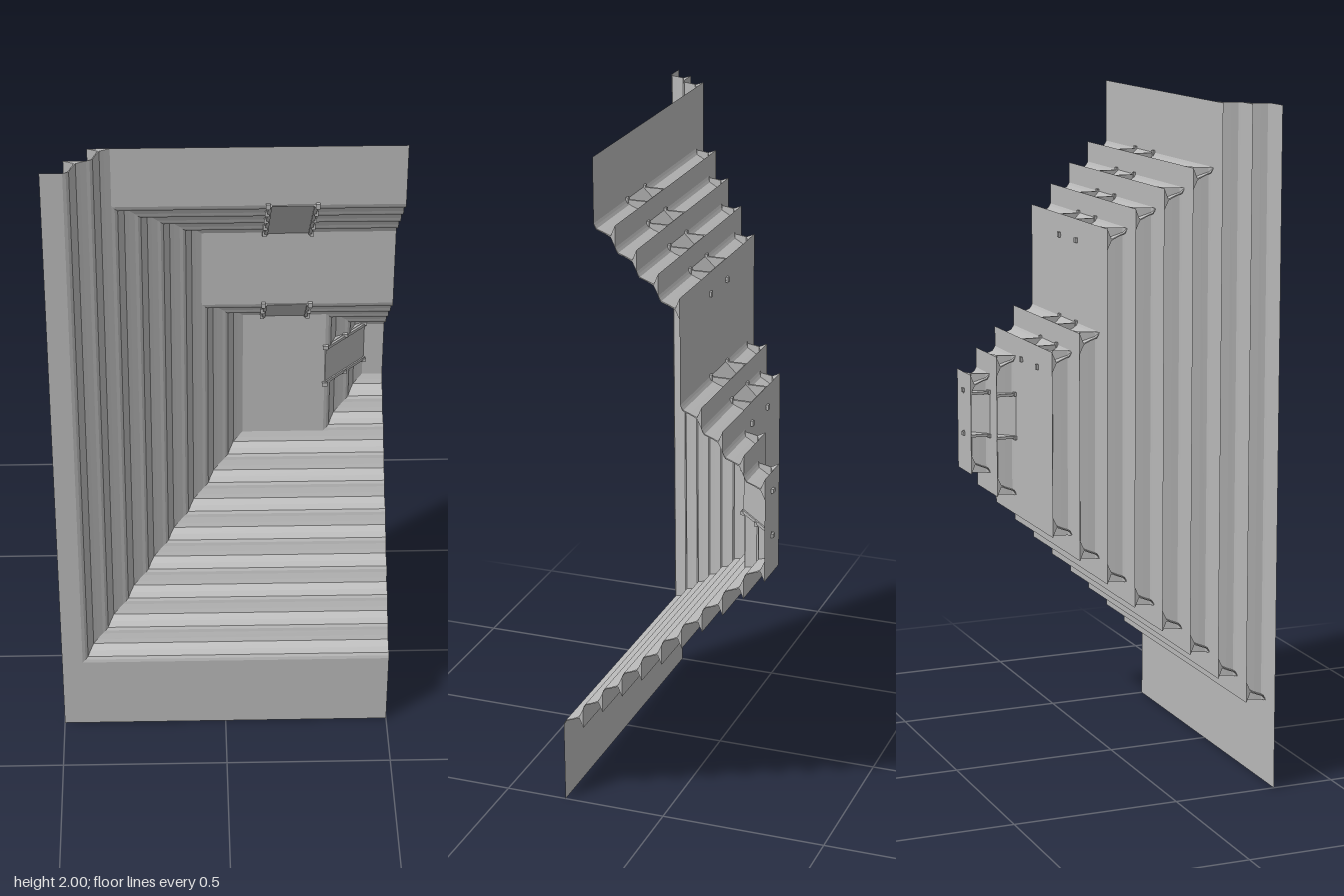
import * as THREE from 'three';

const S = 0.0625; // one step, both inward and backward

// Cross-sections: first coordinate runs backward, second inward
const section = (pts) => new THREE.Shape(pts.map(([d, u]) => new THREE.Vector2(d, u)));
const MOULDING = section([
  [0, 0], [0.003, 0.009], [0.008, 0.017], [0.028, 0.024], [0.049, 0.034], [0.055, 0.046], [S, S],
  [S, 0], [0.05, 0.03], [0.028, 0.021], [0.009, 0.014], [0.004, 0.007],
]);
const FLAP = section([[S - 0.002, 0], [S - 0.002, S], [S, S], [S, 0]]);
const CAP = section([[0, 0], [S, S], [S, 0]]);
const diagonal = (n, t, e) => section([
  [-e, -e], [-e - t, -e + t], [n * S + e - t, n * S + e + t], [n * S + e, n * S + e],
]);

// Inward directions of the three kinds of moulding
const UP = new THREE.Vector3(0, 1, 0);
const DOWN = new THREE.Vector3(0, -1, 0);
const LEFT = new THREE.Vector3(1, 0, 0);
const BACK = new THREE.Vector3(0, 0, -1);

export function createModel() {
  const model = new THREE.Group();
  const grey = new THREE.MeshStandardMaterial({ color: 0xb8b8b8, side: THREE.DoubleSide });
  grey.name = 'grey';

  // Extrude a cross-section along the direction at right angles to it
  function strip(name, shape, inward, start, offset, length) {
    const along = new THREE.Vector3().crossVectors(BACK, inward);
    const geo = new THREE.ExtrudeGeometry(shape, { depth: length, bevelEnabled: false });
    geo.applyMatrix4(new THREE.Matrix4().makeBasis(BACK, inward, along)
      .setPosition(new THREE.Vector3(...start).addScaledVector(along, offset)));
    const mesh = new THREE.Mesh(geo, grey);
    mesh.name = name;
    model.add(mesh);
  }

  // Moulding, optionally interrupted by an opening 0.125 wide
  function moulding(name, inward, start, length, cut) {
    if (cut === undefined) return strip(name, MOULDING, inward, start, 0, length);
    const end = cut + 0.125;
    strip(name, MOULDING, inward, start, 0, cut);
    strip(name, MOULDING, inward, start, end, length - end);
    strip('openingFlap', FLAP, inward, start, cut, 0.125);
    for (const o of [cut - 0.008, end]) strip('openingCap', CAP, inward, start, o, 0.008);
  }

  // Flat upright panel
  function panel(name, x0, x1, y0, y1, z) {
    const mesh = new THREE.Mesh(new THREE.PlaneGeometry(x1 - x0, y1 - y0), grey);
    mesh.position.set((x0 + x1) / 2, (y0 + y1) / 2, z);
    mesh.name = name;
    model.add(mesh);
  }

  // Ten receding frames
  for (let k = 0; k < 10; k++) {
    const z = 0.3125 - k * S;
    const x = k < 8 ? -0.4375 + k * S : 0.3125 + (k - 8) * S;
    const y = 0.25 + k * S;
    const top = k < 2 ? 2 : k < 6 ? 1.8125 - (k - 2) * S : 1.3125 - (k - 6) * S;
    moulding('bottomMoulding', UP, [x, y, z], 0.5 - x);
    moulding('sideMoulding', LEFT, [x, top, z], top - y, k >= 8 ? top - 1.0625 : undefined);
    if (k >= 2) moulding('topMoulding', DOWN, [0.5, top, z], 0.5 - x, k < 8 ? 0.25 : undefined);
  }

  // Slanted plates with edge rails across the openings
  function slantedPlate(inward, start, n) {
    strip('slantedPlate', diagonal(n, 0.002, 0), inward, start, 0, 0.125);
    for (const o of [-0.006, 0.121]) strip('plateRail', diagonal(n, 0.005, 0.002), inward, start, o, 0.01);
    for (let i = 0; i <= n; i++) {
      // small clips beside the plate at every step
      const p = [start[0], start[1], start[2] - i * S];
      p[inward === DOWN ? 1 : 0] += (inward === DOWN ? -1 : 1) * i * S;
      const clip = section([[-0.009, -0.007], [-0.009, 0.009], [0.007, 0.009], [0.007, -0.007]]);
      for (const o of [-0.012, 0.125]) strip('plateClip', clip, inward, p, o, 0.012);
    }
  }
  slantedPlate(DOWN, [0.25, 1.8125, 0.1875], 4);
  slantedPlate(DOWN, [0.25, 1.3125, -0.0625], 2);
  slantedPlate(LEFT, [0.3125, 1.0625, -0.1875], 2);

  // Flat wall panels
  panel('frontSidePanel', -0.5, -0.4375, 0, 2, 0.3125);
  panel('frontBottomPanel', -0.4375, 0.5, 0, 0.25, 0.3125);
  panel('upperPanel', -0.3125, 0.5, 1.8125, 2, 0.1875);
  panel('middlePanel', -0.0625, 0.5, 1.3125, 1.5625, -0.0625);
  panel('innerPanel', 0.0625, 0.3125, 0.75, 1.1875, -0.1875);
  panel('backPanel', 0.4375, 0.5, 0.875, 1.0625, -0.3125);
  return model;
}
